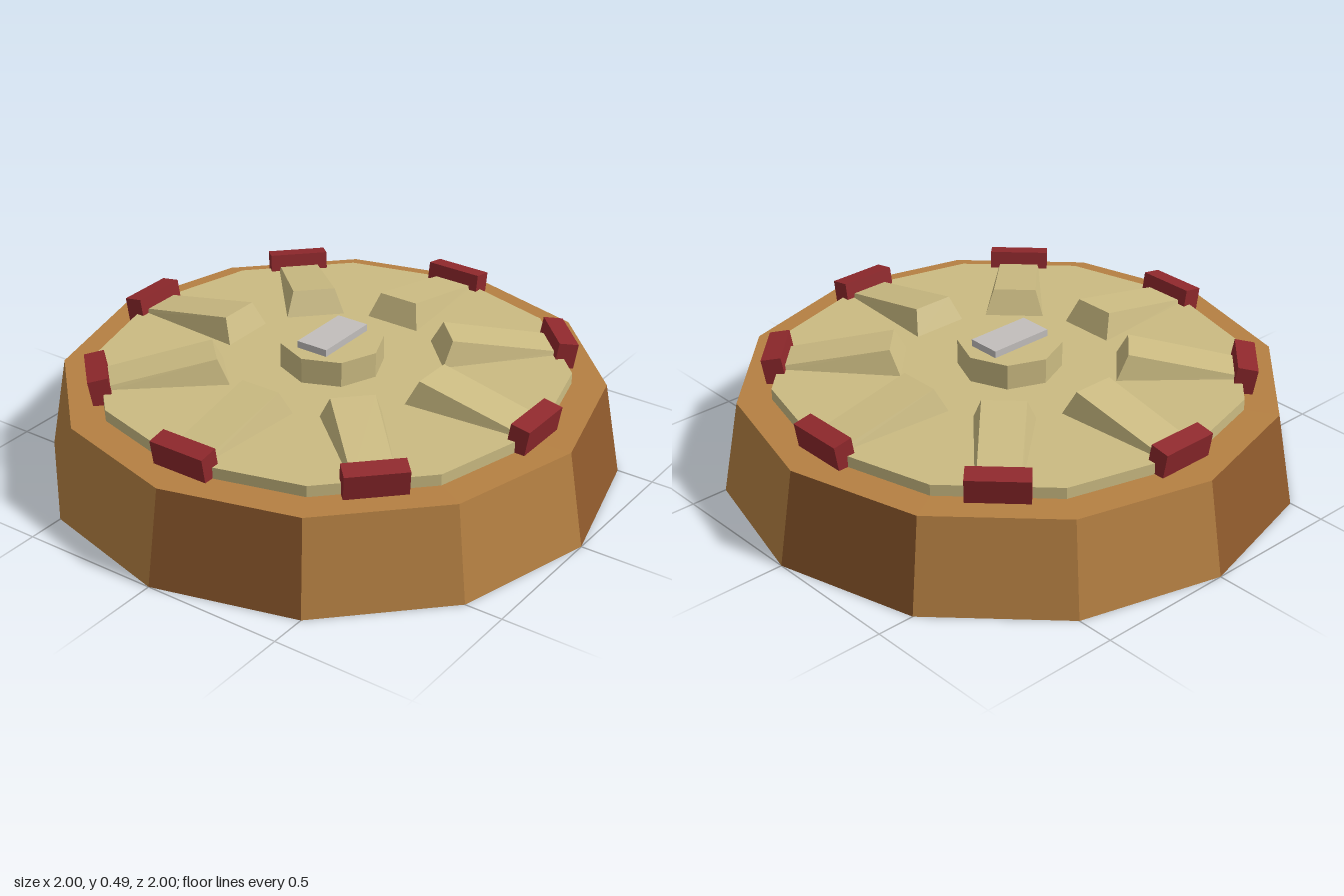
import * as THREE from 'three';

const paint = (name, color) => {
  const m = new THREE.MeshStandardMaterial({ color, flatShading: true });
  m.name = name;
  return m;
};

// Tapered wedge: tall, wide end near the hub, thin end near the rim
function wedgeGeometry() {
  const g = new THREE.BoxGeometry(1, 1, 1);
  const p = g.attributes.position;
  for (let i = 0; i < p.count; i++) {
    const side = Math.sign(p.getX(i));
    const top = p.getY(i) > 0;
    const inner = p.getZ(i) < 0;
    if (inner) p.setXYZ(i, side * (top ? 0.075 : 0.105), top ? 0.46 : 0.37, top ? 0.405 : 0.365);
    else p.setXYZ(i, side * (top ? 0.07 : 0.075), top ? 0.385 : 0.37, 0.79);
  }
  g.computeVertexNormals();
  return g;
}

export function createModel() {
  const lightWood = paint('light wood', 0xb58042);
  const darkWood = paint('dark wood', 0x8f5a2c);
  const tan = paint('tan', 0xcbbb82);
  const red = paint('red', 0x8f282c);
  const grey = paint('pale grey', 0xc2bebc);

  const model = new THREE.Group();
  const add = (parent, name, geometry, material, y = 0, z = 0) => {
    const mesh = new THREE.Mesh(geometry, material);
    mesh.name = name;
    mesh.position.set(0, y, z);
    parent.add(mesh);
    return mesh;
  };

  // Twelve-sided wooden base, every third side is dark
  const base = new THREE.CylinderGeometry(0.94, 1, 0.335, 12);
  base.clearGroups();
  for (let i = 0; i < 12; i++) base.addGroup(i * 6, 6, i % 3 === 0 ? 1 : 0);
  base.addGroup(72, 72, 0);
  add(model, 'base', base, [lightWood, darkWood], 0.1675);

  // Raised disc, hub and plate
  add(model, 'disc', new THREE.CylinderGeometry(0.82, 0.82, 0.045, 12), tan, 0.3525);
  add(model, 'hub', new THREE.CylinderGeometry(0.18, 0.18, 0.09, 8), tan, 0.42);
  add(model, 'hubPlate', new THREE.BoxGeometry(0.24, 0.025, 0.12), grey, 0.4775);

  // Eight spokes, each a wedge with an outward-leaning block at the rim
  const wedge = wedgeGeometry();
  const block = new THREE.BoxGeometry(0.21, 0.1, 0.07);
  for (let i = 0; i < 8; i++) {
    const spoke = new THREE.Group();
    spoke.name = 'spoke';
    spoke.rotation.y = (i * Math.PI) / 4;
    add(spoke, 'wedge', wedge, tan);
    add(spoke, 'rimBlock', block, red, 0.38, 0.8).rotation.x = 0.17;
    model.add(spoke);
  }
  return model;
}
